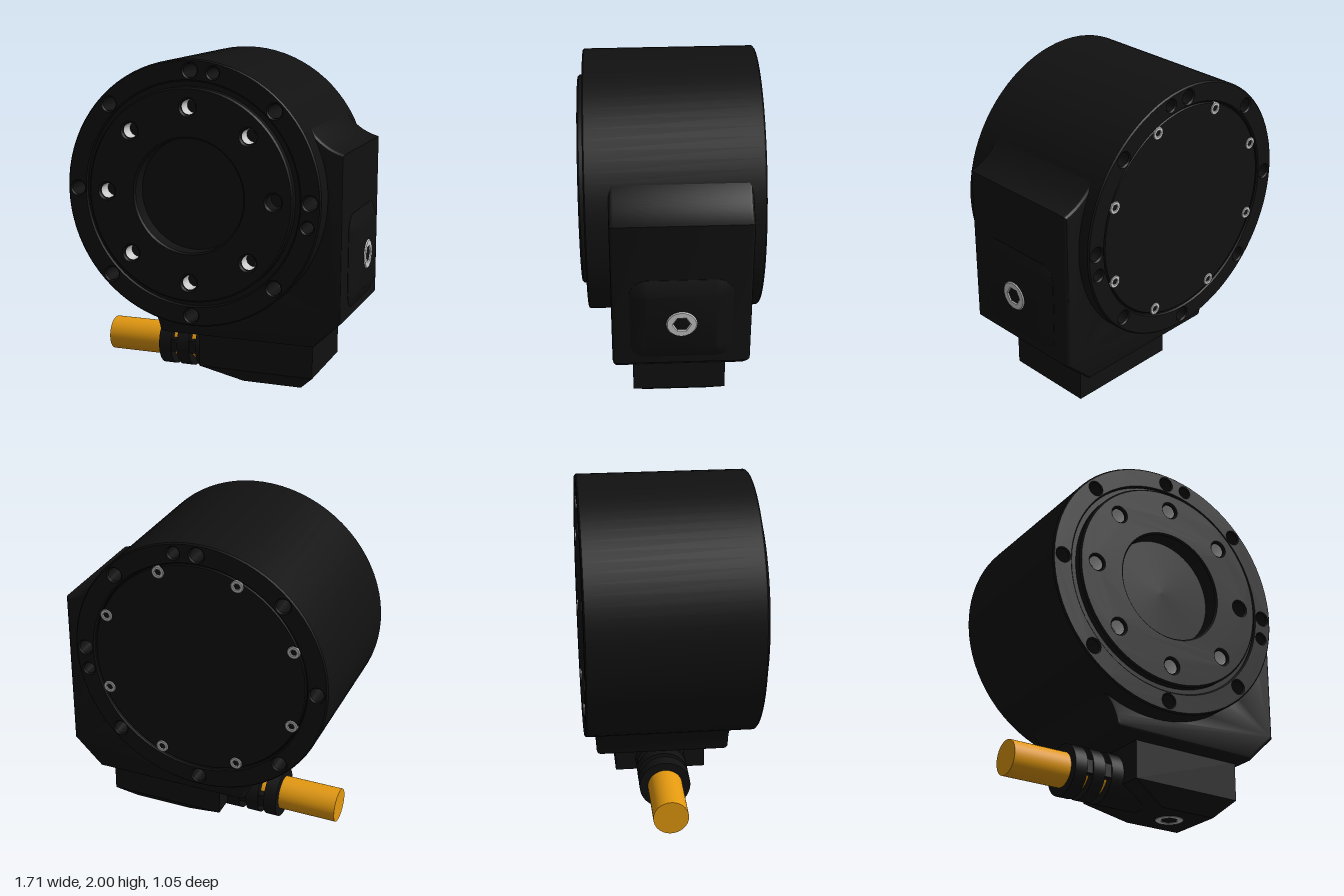
import * as THREE from 'three';
import { toCreasedNormals } from 'three/addons/utils/BufferGeometryUtils.js';

const black = new THREE.MeshStandardMaterial({ color: 0x111111 });
const orange = new THREE.MeshStandardMaterial({ color: 0xe59a10 });
const grey = new THREE.MeshStandardMaterial({ color: 0xcccccc });
const greyOpen = new THREE.MeshStandardMaterial({ color: 0xcccccc, side: THREE.DoubleSide });

const CX = -0.07, CY = 1.215; // axis of the round housing
const MZ = -0.045;            // middle plane of the side housing and cable

const polar = (r, deg) => [CX + r * Math.cos(deg * Math.PI / 180), CY + r * Math.sin(deg * Math.PI / 180)];

function circle(x, y, r, Type = THREE.Path) {
  return new Type().absarc(x, y, r, 0, Math.PI * 2, false);
}

function mesh(name, geometry, material = black) {
  const m = new THREE.Mesh(geometry, material);
  m.name = name;
  return m;
}

// Extrusion from z0 to z1 whose chamfered edges stay inside the outline
function slab(shape, z0, z1, bevel = 0.01, bevelSegments = 1, inset = bevel) {
  const g = new THREE.ExtrudeGeometry(shape, {
    depth: z1 - z0 - 2 * bevel, curveSegments: 40, bevelEnabled: bevel > 0,
    bevelThickness: bevel, bevelSize: inset, bevelOffset: -inset, bevelSegments,
  });
  g.translate(0, 0, z0 + bevel);
  return toCreasedNormals(g, 0.5);
}

// Disc facing z between z0 and z1
function disc(x, y, r, z0, z1) {
  return new THREE.CylinderGeometry(r, r, z1 - z0, 64).rotateX(Math.PI / 2).translate(x, y, (z0 + z1) / 2);
}

// Round screw head with a hexagonal socket, facing +z with its top at z = 0
function screw(name, r, height) {
  const head = circle(0, 0, r, THREE.Shape);
  const socket = [...Array(6)].map((_, i) =>
    new THREE.Vector2(Math.cos(i * Math.PI / 3), Math.sin(i * Math.PI / 3)).multiplyScalar(r * 0.52));
  head.holes.push(new THREE.Path(socket));
  const g = new THREE.Group();
  g.name = name;
  g.add(mesh('screwHead', slab(head, -height, 0, r * 0.08), grey));
  g.add(mesh('socketFloor', disc(0, 0, r * 0.6, -height, -height * 0.75), grey));
  return g;
}

function roundedRect(w, h, r) {
  const s = new THREE.Shape(), x = w / 2 - r, y = h / 2 - r;
  s.absarc(x, y, r, 0, Math.PI / 2);
  s.absarc(-x, y, r, Math.PI / 2, Math.PI);
  s.absarc(-x, -y, r, Math.PI, Math.PI * 1.5);
  s.absarc(x, -y, r, Math.PI * 1.5, Math.PI * 2);
  return s;
}

// Cylinder lying along x
function rod(x0, x1, r) {
  return new THREE.CylinderGeometry(r, r, x1 - x0, 48).rotateZ(Math.PI / 2).translate((x0 + x1) / 2, 0.165, MZ);
}

export function createModel() {
  const model = new THREE.Group();
  model.name = 'rotaryDrive';

  // Round housing: a thick ring with mounting holes right through
  const boltHoles = [...Array(8)].map((_, i) => [...polar(0.72, i * 45), 0.041]);
  const pinHoles = [[0.07, 1.925, 0.034], [0.635, 1.075, 0.034]];
  const ring = circle(CX, CY, 0.785, THREE.Shape);
  ring.holes.push(circle(CX, CY, 0.66));
  for (const h of [...boltHoles, ...pinHoles]) ring.holes.push(circle(...h));
  model.add(mesh('roundHousing', slab(ring, -0.525, 0.49, 0.008)));

  // Side housing wrapping the lower right of the ring
  const side = new THREE.Shape();
  side.moveTo(-0.456, 0.537);
  side.quadraticCurveTo(-0.36, 0.47, -0.335, 0.36);
  side.quadraticCurveTo(-0.33, 0.33, -0.3, 0.33);
  side.lineTo(0.635, 0.33);
  side.lineTo(0.81, 0.5);
  side.lineTo(0.81, 1.48);
  side.quadraticCurveTo(0.68, 1.51, 0.59, 1.635);
  for (const h of [boltHoles[0], boltHoles[6], boltHoles[7], pinHoles[1]]) side.holes.push(circle(...h));
  model.add(mesh('sideHousing', slab(side, -0.45, 0.355, 0.025, 3)));

  // Front output flange with recessed centre and threaded holes
  const flange = circle(CX, CY, 0.63, THREE.Shape);
  flange.holes.push(circle(CX, CY, 0.335));
  for (let i = 0; i < 8; i++) flange.holes.push(circle(...polar(0.515, i * 45), 0.046));
  model.add(mesh('outputFlange', slab(flange, 0.4, 0.525)));
  model.add(mesh('flangeFloor', disc(CX, CY, 0.62, 0.36, 0.42)));
  model.add(mesh('sealRing', disc(CX, CY, 0.66, 0.36, 0.415)));
  const seal = circle(CX, CY, 0.661, THREE.Shape);
  seal.holes.push(circle(CX, CY, 0.625));
  model.add(mesh('sealLip', slab(seal, 0.4, 0.475, 0)));
  for (let i = 1; i < 8; i++) {
    const [x, y] = polar(0.515, i * 45);
    const insert = new THREE.CylinderGeometry(0.043, 0.043, 0.085, 24, 1, true).rotateX(Math.PI / 2);
    model.add(mesh('threadInsert', insert.translate(x, y, 0.465), greyOpen));
  }

  // Back cover and its screws
  model.add(mesh('backCover', slab(circle(CX, CY, 0.655, THREE.Shape), -0.518, -0.46, 0.006)));
  model.add(mesh('backCoverSeat', disc(CX, CY, 0.661, -0.5, -0.46)));
  for (let i = 0; i < 8; i++) {
    const s = screw('backScrew', 0.037, 0.03);
    const [x, y] = polar(0.622, 22.5 + i * 45);
    s.position.set(x, y, -0.525);
    s.rotation.y = Math.PI;
    model.add(s);
  }

  // Raised plate with plug on the side housing
  const plate = mesh('sidePlate', slab(roundedRect(0.59, 0.56, 0.1), -0.04, 0.04, 0.039, 1, 0.09));
  plate.rotation.y = Math.PI / 2;
  plate.position.set(0.812, 0.83, MZ);
  model.add(plate);
  const sidePlug = screw('sidePlug', 0.09, 0.03);
  sidePlug.rotation.y = Math.PI / 2;
  sidePlug.position.set(0.858, 0.825, MZ);
  model.add(sidePlug);

  // Connector box, its underside drawn in to form chamfers
  const box = new THREE.BoxGeometry(0.72, 0.34, 0.56, 1, 2, 1);
  const p = box.attributes.position;
  for (let i = 0; i < p.count; i++) {
    if (p.getY(i) < -0.1) {
      p.setX(i, p.getX(i) > 0 ? 0.26 : -0.11);
      p.setZ(i, Math.sign(p.getZ(i)) * 0.18);
    } else if (Math.abs(p.getY(i)) < 0.01) p.setY(i, -0.07);
  }
  box.translate(0.24, 0.17, MZ);
  model.add(mesh('connectorBox', toCreasedNormals(box, 0.3)));
  const bottomPlug = screw('bottomPlug', 0.09, 0.03);
  bottomPlug.rotation.x = Math.PI / 2;
  bottomPlug.position.set(0.31, -0.003, MZ);
  model.add(bottomPlug);

  // Cable with the ribbed strain relief
  model.add(mesh('cable', rod(-0.81, -0.1, 0.105), orange));
  for (const [x0, x1] of [[-0.445, -0.365], [-0.325, -0.245], [-0.2, 0.08]]) {
    model.add(mesh('reliefRing', rod(x0, x1, 0.155)));
  }
  for (const s of [-1, 1]) {
    const bar = new THREE.BoxGeometry(0.26, 0.08, 0.06);
    model.add(mesh('reliefBar', bar.translate(-0.28, 0.165, MZ + s * 0.115)));
  }
  return model;
}
